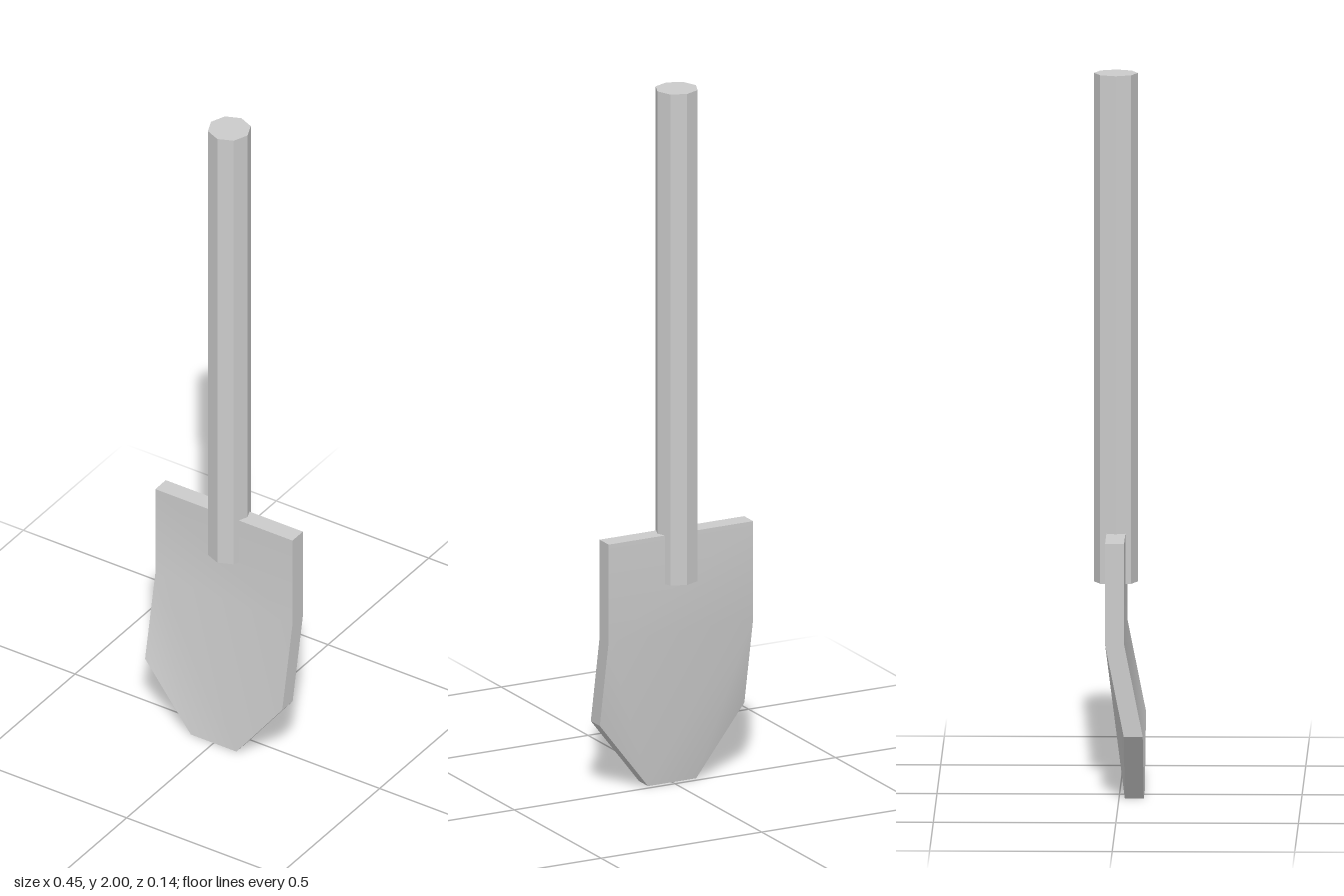
import * as THREE from 'three';
import { toCreasedNormals } from 'three/addons/utils/BufferGeometryUtils.js';

const THICKNESS = 0.052;

// Blade outline, counter-clockwise from the front: x, y, z of the back face
const right = [[0.225, 0.73, -0.035], [0.225, 0.45, -0.035], [0.225, 0.195, 0.016], [0.075, 0, 0.016]];
const left = right.map(([x, y, z]) => [-x, y, z]);
const outline = [...left, ...[...right].reverse()];

function bladeGeometry() {
  const n = outline.length;
  const positions = [
    ...outline.flatMap(([x, y, z]) => [x, y, z + THICKNESS]),
    ...outline.flat(),
  ];
  // Upper panel, tapering middle panel and the two corner triangles
  const face = [[0, 1, 6], [0, 6, 7], [1, 3, 4], [1, 4, 6], [1, 2, 3], [4, 5, 6]];
  const index = [];
  for (const [a, b, c] of face) index.push(a, b, c, a + n, c + n, b + n);
  // Rim joining front and back
  for (let i = 0; i < n; i++) {
    const j = (i + 1) % n;
    index.push(i, i + n, j + n, i, j + n, j);
  }
  const geometry = new THREE.BufferGeometry();
  geometry.setAttribute('position', new THREE.Float32BufferAttribute(positions, 3));
  geometry.setIndex(index);
  return toCreasedNormals(geometry, 0.5);
}

export function createModel() {
  const group = new THREE.Group();
  group.name = 'shovel';

  // Octagonal handle with a corner facing forward
  const handle = new THREE.Mesh(
    new THREE.CylinderGeometry(0.06, 0.06, 1.41, 8),
    new THREE.MeshStandardMaterial({ color: 0xcccccc, flatShading: true })
  );
  handle.name = 'handle';
  handle.position.set(0, 1.295, -0.01);

  // Bent plate with a tapered tip
  const blade = new THREE.Mesh(bladeGeometry(), new THREE.MeshStandardMaterial({ color: 0xcccccc }));
  blade.name = 'blade';

  group.add(handle, blade);
  return group;
}
